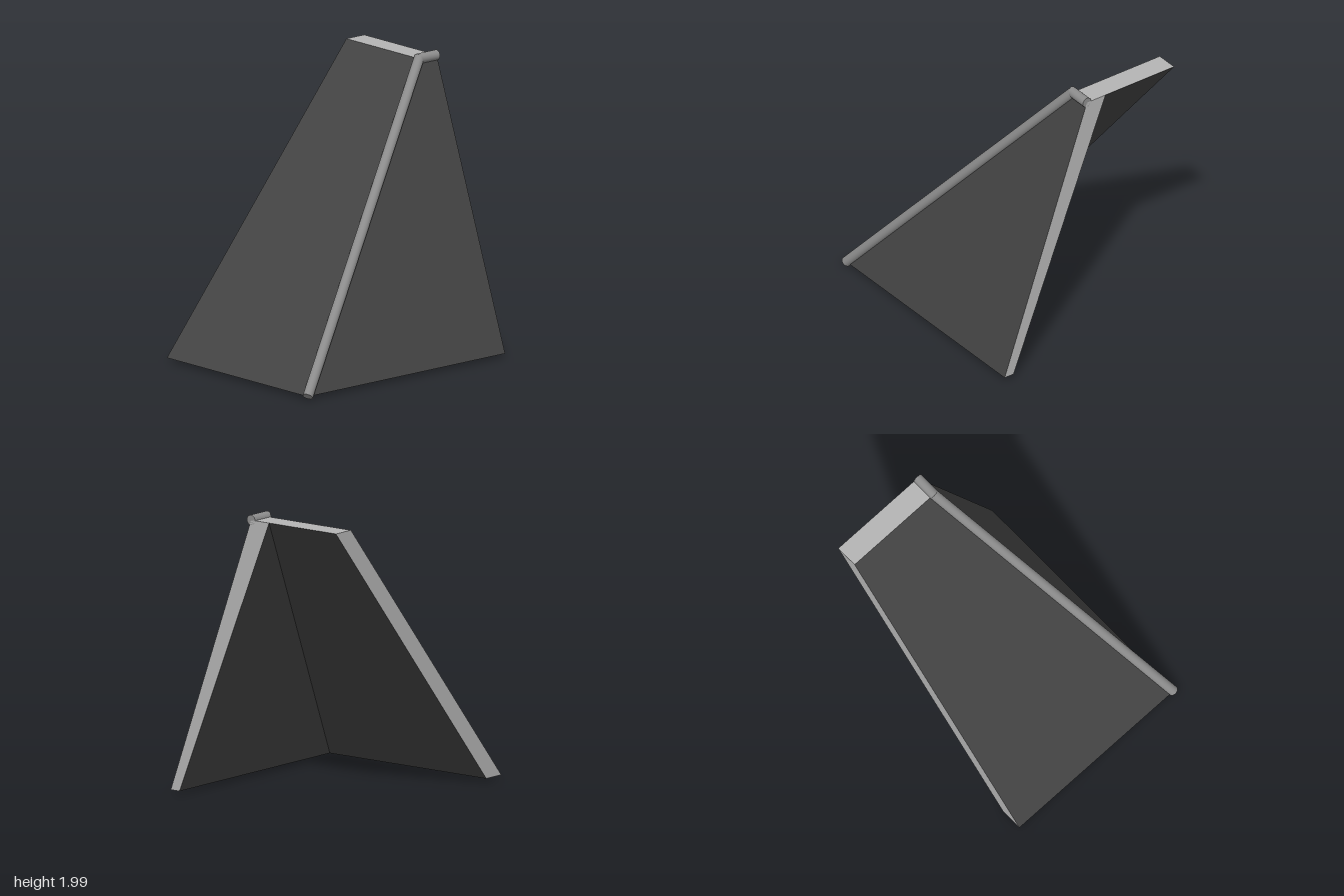
import * as THREE from 'three';

const V = (x, y, z) => new THREE.Vector3(x, y, z);

// Flat-shaded mesh from convex polygons, each a counter-clockwise list of corners
function polygons(name, material, faces) {
  const pos = [];
  for (const f of faces) {
    for (let i = 1; i < f.length - 1; i++) {
      for (const p of [f[0], f[i], f[i + 1]]) pos.push(p.x, p.y, p.z);
    }
  }
  const geo = new THREE.BufferGeometry();
  geo.setAttribute('position', new THREE.Float32BufferAttribute(pos, 3));
  geo.computeVertexNormals();
  const mesh = new THREE.Mesh(geo, material);
  mesh.name = name;
  return mesh;
}

// Smooth pipe wall between two rings of equal length
function pipe(name, material, ringA, ringB) {
  const n = ringA.length;
  const index = [];
  for (let i = 0; i < n; i++) {
    const j = (i + 1) % n;
    index.push(i, j, n + j, i, n + j, n + i);
  }
  const geo = new THREE.BufferGeometry().setFromPoints([...ringA, ...ringB]);
  geo.setIndex(index);
  geo.computeVertexNormals();
  const mesh = new THREE.Mesh(geo, material);
  mesh.name = name;
  return mesh;
}

export function createModel() {
  const slate = new THREE.MeshStandardMaterial({ color: 0x444444 });
  slate.name = 'dark slate';
  const trim = new THREE.MeshStandardMaterial({ color: 0xb4b4b4 });
  trim.name = 'light edge';
  const cap = new THREE.MeshStandardMaterial({ color: 0x8c8c8c });
  cap.name = 'ridge grey';

  const model = new THREE.Group();
  model.name = 'roofCorner';
  const lo = 0.03, hi = 1.965, back = -0.73, end = 0.9;

  // Outer corners of the two slopes
  const hipFoot = V(-0.87, lo, 0.69), hipTop = V(0.74, hi, 0);
  const endFoot = V(end, lo, 0.69), endTop = V(end, hi, 0);
  const backFoot = V(-0.87, lo, back), backTop = V(0.74, hi, back);
  // Inner corners
  const inHipFoot = V(-0.71, lo, 0.615), inHipTop = V(end, hi, -0.155);
  const inEndFoot = V(end, lo, 0.615);
  const inBackFoot = V(-0.71, lo, back), inBackTop = V(end, hi, back);

  model.add(
    polygons('frontSlope', slate, [[hipFoot, endFoot, endTop, hipTop]]),
    polygons('sideSlope', slate, [[backFoot, hipFoot, hipTop, backTop]]),
    polygons('frontUnderside', slate, [[inEndFoot, inHipFoot, inHipTop]]),
    polygons('sideUnderside', slate, [[inHipFoot, inBackFoot, inBackTop, inHipTop]]),
    polygons('topEdge', trim, [[hipTop, endTop, inHipTop, inBackTop, backTop]]),
    polygons('endEdge', trim, [[endFoot, inEndFoot, inHipTop, endTop]]),
    polygons('backEdge', trim, [[inBackFoot, backFoot, backTop, inBackTop]]),
    polygons('eaves', trim, [
      [hipFoot, inHipFoot, inEndFoot, endFoot],
      [hipFoot, backFoot, inBackFoot, inHipFoot],
    ])
  );

  // Round capping along the hip, mitred into a short ridge piece
  const sides = 20, radius = 0.035;
  const d1 = hipTop.clone().sub(hipFoot).normalize();
  const d2 = V(1, 0, 0);
  const u = d1.clone().cross(d2).normalize();
  const v1 = d1.clone().cross(u), v2 = d2.clone().cross(u);
  const mitre = v1.clone().add(v2).divideScalar(1 + v1.dot(v2));
  const ring = (centre, v) => Array.from({ length: sides }, (_, i) => {
    const a = (i / sides) * Math.PI * 2;
    return centre.clone()
      .addScaledVector(u, radius * Math.cos(a))
      .addScaledVector(v, radius * Math.sin(a));
  });
  const footRing = ring(hipFoot, v1);
  const bendRing = ring(hipTop, mitre);
  const endRing = ring(endTop, v2);

  const capping = new THREE.Group();
  capping.name = 'ridgeCapping';
  capping.add(
    pipe('hipCap', cap, footRing, bendRing),
    pipe('ridgeCap', cap, bendRing, endRing),
    polygons('capEnds', cap, [[...footRing].reverse(), endRing])
  );
  model.add(capping);
  return model;
}
